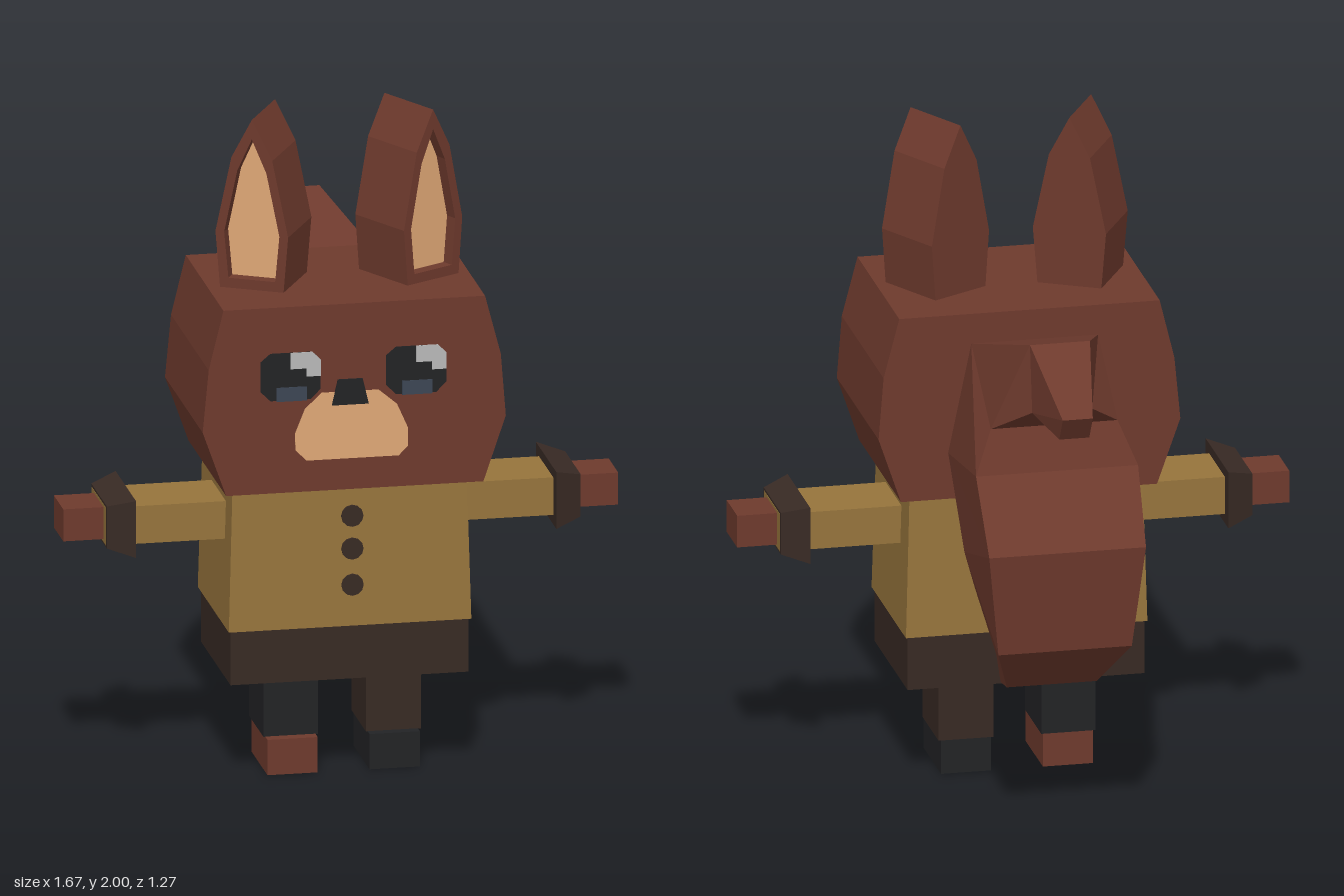
import * as THREE from 'three';

const mat = (color) => new THREE.MeshStandardMaterial({ color, flatShading: true });
const brown = mat(0x6e3a2d), gold = mat(0x96743c), dark = mat(0x382a24), black = mat(0x222325);
const tan = mat(0xe0a876), white = mat(0xb8b8b8), slate = mat(0x3c4654);

function add(parent, name, geometry, material, x = 0, y = 0, z = 0) {
  const m = new THREE.Mesh(geometry, material);
  m.name = name;
  m.position.set(x, y, z);
  parent.add(m);
  return m;
}

// Box given by its extents on each axis
function box(parent, name, material, [x0, x1], [y0, y1], [z0, z1]) {
  const g = new THREE.BoxGeometry(x1 - x0, y1 - y0, z1 - z0);
  return add(parent, name, g, material, (x0 + x1) / 2, (y0 + y1) / 2, (z0 + z1) / 2);
}

// Move every vertex of a geometry by a rule
function reshape(g, rule) {
  const p = g.attributes.position, v = new THREE.Vector3();
  for (let i = 0; i < p.count; i++) {
    v.fromBufferAttribute(p, i);
    rule(v);
    p.setXYZ(i, v.x, v.y, v.z);
  }
  g.computeVertexNormals();
  return g;
}

const shape = (pts) => new THREE.Shape(pts.map(([x, y]) => new THREE.Vector2(x, y)));
const extrude = (s, depth) => new THREE.ExtrudeGeometry(s, { depth, bevelEnabled: false });

// Ear outline from half-widths, pointed at the top
const earOutline = (side, tip) => [
  ...side.map(([w, y]) => [w, y]), [0, tip], ...side.map(([w, y]) => [-w, y]).reverse(),
];

function makeEar(name, side) {
  const ear = new THREE.Group();
  ear.name = name;
  const outer = earOutline([[0.097, 1.47], [0.112, 1.65], [0.063, 1.88]], 2.0);
  const inner = earOutline([[0.072, 1.51], [0.085, 1.65], [0.045, 1.84]], 1.94);
  const rim = shape(outer);
  rim.holes.push(shape(inner));
  add(ear, 'earBack', extrude(shape(outer), 0.18), brown, 0, 0, -0.11);
  add(ear, 'earRim', extrude(rim, 0.04), brown, 0, 0, 0.07);
  add(ear, 'innerEar', new THREE.ShapeGeometry(shape(inner)), tan, 0, 0, 0.073);
  ear.position.set(side * 0.217, 0, 0.333);
  ear.rotation.y = side * 0.51;
  return ear;
}

function makeEye(name, x) {
  const eye = new THREE.Group();
  eye.name = name;
  const socket = shape([
    [0.03, 1.195], [0.15, 1.195], [0.18, 1.225], [0.18, 1.315], [0.155, 1.34],
    [0.03, 1.34], [0, 1.315], [0, 1.225],
  ]);
  const glint = shape([
    [0.09, 1.29], [0.137, 1.29], [0.137, 1.265], [0.18, 1.265], [0.18, 1.315], [0.155, 1.34], [0.09, 1.34],
  ]);
  add(eye, 'eyeball', extrude(socket, 0.004), black);
  add(eye, 'glint', extrude(glint, 0.004), white, 0, 0, 0.002);
  box(eye, 'lowerReflection', slate, [0.048, 0.138], [1.192, 1.235], [0, 0.006]);
  eye.position.set(x, 0, 0.618);
  return eye;
}

function makeArm(name, side, z) {
  const arm = new THREE.Group();
  arm.name = name;
  const span = (a, b) => [Math.min(side * a, side * b), Math.max(side * a, side * b)];
  box(arm, 'sleeve', gold, span(0.33, 0.713), [0.733, 0.848], [z - 0.108, z + 0.108]);
  box(arm, 'hand', brown, span(0.7, 0.833), [0.742, 0.84], [z - 0.072, z + 0.072]);
  // Cuff flares towards the body
  const cuff = reshape(new THREE.BoxGeometry(0.08, 0.174, 0.31), (v) => {
    if (v.x * side > 0) { v.y *= 0.74; v.z *= 0.76; }
  });
  add(arm, 'cuff', cuff, dark, side * 0.672, 0.791, z);
  return arm;
}

function makeTail() {
  // Each section: upper z, y, lower z, y, half-width
  const sections = [
    [0.14, 0.45, 0.14, 0.37, 0.05],
    [0.07, 0.46, 0, 0.35, 0.09],
    [-0.07, 0.57, -0.29, 0.435, 0.135],
    [-0.15, 0.7, -0.47, 0.6, 0.2],
    [-0.165, 0.82, -0.505, 0.915, 0.235],
    [0.02, 1.065, -0.36, 1.12, 0.243],
    [-0.055, 1.425, -0.32, 1.25, 0.19],
    [-0.4, 1.53, -0.43, 1.33, 0.09],
    [-0.643, 1.375, -0.595, 1.3, 0.045],
  ];
  const n = sections.length - 1;
  return reshape(new THREE.BoxGeometry(1, 1, 1, 1, 1, n), (v) => {
    const [uz, uy, lz, ly, w] = sections[Math.round((0.5 - v.z) * n)];
    const upper = v.y > 0;
    v.set(v.x * 2 * w + 0.005, upper ? uy : ly, upper ? uz : lz);
  });
}

export function createModel() {
  const model = new THREE.Group();
  model.name = 'animalFigure';

  // Head
  const headOutline = shape([
    [-0.385, 0.912], [0.383, 0.912], [0.45, 1.11], [0.435, 1.3], [0.388, 1.48],
    [-0.393, 1.48], [-0.437, 1.3], [-0.455, 1.11],
  ]);
  add(model, 'head', extrude(headOutline, 0.57), brown, 0, 0, 0.05);
  model.add(makeEar('leftEar', 1), makeEar('rightEar', -1));
  model.add(makeEye('rightEye', -0.283), makeEye('leftEye', 0.092));
  const muzzle = shape([
    [-0.145, 1.007], [0.13, 1.007], [0.157, 1.035], [0.158, 1.09], [0.125, 1.165],
    [0.07, 1.212], [-0.1, 1.212], [-0.15, 1.165], [-0.18, 1.09], [-0.178, 1.04],
  ]);
  add(model, 'muzzle', extrude(muzzle, 0.004), tan, 0, 0, 0.618);
  const nose = shape([[-0.07, 1.172], [0.04, 1.172], [0.022, 1.25], [-0.052, 1.25]]);
  add(model, 'nose', extrude(nose, 0.006), black, 0, 0, 0.619);

  // Body
  box(model, 'neck', dark, [-0.23, 0.24], [0.88, 0.93], [0.15, 0.5]);
  const coat = reshape(new THREE.BoxGeometry(0.724, 0.427, 0.47), (v) => {
    if (v.y > 0) { v.x *= 0.967; v.z *= 0.967; }
  });
  add(model, 'coat', coat, gold, -0.003, 0.688, 0.325);
  box(model, 'trousers', dark, [-0.358, 0.352], [0.31, 0.476], [0.1, 0.55]);
  for (const y of [0.81, 0.71, 0.6]) {
    const button = new THREE.CylinderGeometry(0.033, 0.033, 0.012, 12).rotateX(Math.PI / 2);
    add(model, 'button', button, dark, 0.004, y, 0.5525 + (0.9 - y) * 0.018);
  }

  // Limbs
  model.add(makeArm('leftArm', 1, 0.308), makeArm('rightArm', -1, 0.355));
  box(model, 'leftLeg', dark, [0.07, 0.235], [0.107, 0.33], [0.21, 0.43]);
  box(model, 'rightLeg', black, [-0.235, -0.072], [0.107, 0.33], [0.205, 0.425]);
  box(model, 'leftFoot', black, [0.075, 0.225], [0, 0.108], [0.22, 0.46]);
  box(model, 'rightFoot', brown, [-0.23, -0.08], [0, 0.108], [0.22, 0.46]);

  add(model, 'tail', makeTail(), brown);
  return model;
}
